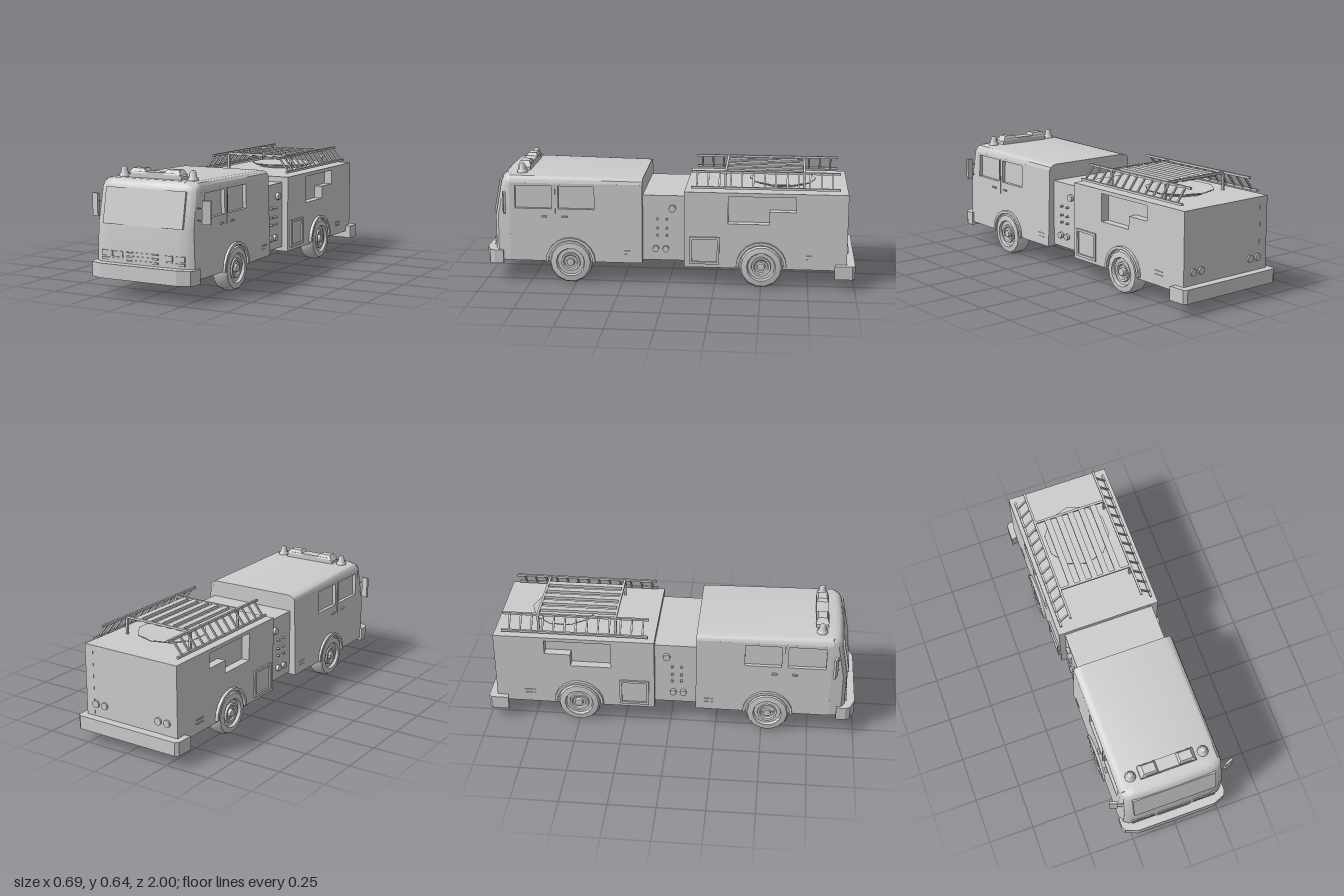
import * as THREE from 'three';
import { toCreasedNormals } from 'three/addons/utils/BufferGeometryUtils.js';

const mat = new THREE.MeshStandardMaterial({ color: 0xcccccc, side: THREE.DoubleSide });
const SIDES = [1, -1];

function add(parent, name, geo, x = 0, y = 0, z = 0) {
  const m = new THREE.Mesh(geo, mat);
  m.name = name;
  m.position.set(x, y, z);
  parent.add(m);
  return m;
}
const box = (p, name, w, h, d, x, y, z) => add(p, name, new THREE.BoxGeometry(w, h, d), x, y, z);

// Square bar between two points
function bar(p, name, a, b, t) {
  const A = new THREE.Vector3(...a), B = new THREE.Vector3(...b);
  const m = box(p, name, t, t, A.distanceTo(B), 0, 0, 0);
  m.position.copy(A).add(B).multiplyScalar(0.5);
  m.lookAt(B);
  return m;
}

// Plate in the z-y plane whose outer face lies at x = s * outer, leaning in by `lean` per unit height
function sidePlate(outline, holes, s, outer, t, lean = 0, y0 = 0) {
  const vec = a => a.map(([z, y]) => new THREE.Vector2(z, y));
  const shape = new THREE.Shape(vec(outline));
  shape.holes = holes.map(h => new THREE.Path(vec(h)));
  const g = new THREE.ExtrudeGeometry(shape, { depth: t, bevelEnabled: false });
  g.rotateY(-Math.PI / 2).translate(s > 0 ? outer : t - outer, 0, 0);
  const q = g.attributes.position;
  for (let i = 0; i < q.count; i++) q.setX(i, q.getX(i) - s * lean * (q.getY(i) - y0));
  g.computeVertexNormals();
  return g;
}
const rect = (z0, y0, z1, y1) => [[z0, y0], [z1, y0], [z1, y1], [z0, y1]];

// Skin through equal-length rings, capped at both ends
function loft(rings) {
  const n = rings[0].length, pos = rings.flat(2), idx = [];
  for (let r = 0; r < rings.length - 1; r++)
    for (let i = 0; i < n; i++) {
      const a = r * n + i, b = r * n + (i + 1) % n;
      idx.push(a, b, b + n, a, b + n, a + n);
    }
  [0, rings.length - 1].forEach((r, k) => {
    const c = pos.length / 3;
    for (let j = 0; j < 3; j++) pos.push(rings[r].reduce((s, p) => s + p[j], 0) / n);
    for (let i = 0; i < n; i++) {
      const a = r * n + i, b = r * n + (i + 1) % n;
      k ? idx.push(c, a, b) : idx.push(c, b, a);
    }
  });
  const g = new THREE.BufferGeometry();
  g.setAttribute('position', new THREE.Float32BufferAttribute(pos, 3));
  g.setIndex(idx);
  return toCreasedNormals(g, 0.6);
}

function cab(root) {
  const g = new THREE.Group();
  g.name = 'cab';
  root.add(g);
  // height, half width, front z, inset behind the door skins, roof fall
  const ring = ([y, w, zf, inset, fall]) => {
    const half = [[0, zf], [0.2, zf - 0.005], [w - 0.035, zf - 0.012], [w - 0.01, zf - 0.03],
      [w, 0.86], [w - inset, 0.859], [w - inset, 0.14]];
    const pts = [...half, ...half.slice(1).reverse().map(([x, z]) => [-x, z])];
    return pts.map(([x, z]) => [x, y - fall * (0.9 - z), z]);
  };
  add(g, 'cabShell', loft([[0.12, 0.293, 0.955, 0.02, 0], [0.36, 0.286, 0.955, 0.02, 0],
    [0.55, 0.28, 0.919, 0.02, 0], [0.55, 0.28, 0.919, 0, 0], [0.573, 0.274, 0.91, 0, 0.01],
    [0.588, 0.26, 0.895, 0, 0.018], [0.593, 0.235, 0.87, 0, 0.018]].map(ring)));
  const screen = box(g, 'windscreen', 0.46, 0.185, 0.02, 0, 0.458, 0.929);
  screen.rotation.x = -0.19;

  for (const s of SIDES) {
    add(g, 'cabSide', sidePlate(rect(0.14, 0.12, 0.86, 0.55),
      [rect(0.63, 0.41, 0.83, 0.535), rect(0.4, 0.41, 0.595, 0.535)], s, 0.293, 0.02, 0.03, 0.12));
    box(g, 'doorSeam', 0.004, 0.28, 0.004, s * 0.286, 0.4, 0.612);
    box(g, 'doorHandle', 0.014, 0.008, 0.03, s * 0.288, 0.368, 0.67);
    box(g, 'doorHandle', 0.014, 0.008, 0.03, s * 0.288, 0.368, 0.56);
    for (const y of [0.165, 0.185]) box(g, 'sideVent', 0.008, 0.006, 0.05, s * 0.291, y, 0.21);
    // Headlights
    box(g, 'headlight', 0.06, 0.028, 0.02, s * 0.21, 0.221, 0.944);
    box(g, 'headlight', 0.058, 0.028, 0.02, s * 0.143, 0.221, 0.947);
    box(g, 'turnSignal', 0.125, 0.013, 0.02, s * 0.177, 0.194, 0.945);
    // Door mirror on two arms
    const mirror = box(g, 'mirror', 0.043, 0.117, 0.012, s * 0.322, 0.449, 0.88);
    mirror.rotation.y = s * 0.35;
    for (const y of [0.41, 0.47])
      bar(g, 'mirrorArm', [s * 0.265, y, 0.9], [s * 0.328, y, 0.875], 0.005);
    // Beacon
    add(g, 'beacon', new THREE.LatheGeometry([[0.03, 0], [0.028, 0.013], [0.021, 0.014], [0.016, 0.042],
      [0.01, 0.049], [0, 0.05]].map(p => new THREE.Vector2(...p)), 10), s * 0.2, 0.591, 0.8);
    // Raised lamp of the light bar
    const lamp = new THREE.CylinderGeometry(0.5, 0.76, 1, 4, 1).rotateY(Math.PI / 4).toNonIndexed();
    lamp.scale(0.094, 0.025, 0.066);
    lamp.computeVertexNormals();
    add(g, 'lightBarLamp', lamp, s * 0.1, 0.627, 0.8);
  }
  const barShape = new THREE.Shape([[-0.155, 0.59], [0.155, 0.59], [0.153, 0.608], [0.12, 0.624],
    [-0.12, 0.624], [-0.153, 0.608]].map(p => new THREE.Vector2(...p)));
  add(g, 'lightBar', new THREE.ExtrudeGeometry(barShape, { depth: 0.066, bevelEnabled: false }), 0, 0, 0.767);
  for (const [y, h] of [[0.191, 0.009], [0.212, 0.009], [0.233, 0.006]])
    box(g, 'grilleBar', 0.182, h, 0.02, 0, y, 0.949);
}

function pumpSection(root) {
  const g = new THREE.Group();
  g.name = 'pumpSection';
  root.add(g);
  box(g, 'pumpHousing', 0.505, 0.36, 0.25, 0, 0.31, 0.025);
  const knob = (s, r, y, z) => {
    const m = add(g, 'pumpOutlet', new THREE.CylinderGeometry(r, r, 0.025, 8), s * 0.257, y, z);
    m.rotation.z = Math.PI / 2;
  };
  for (const s of SIDES) {
    knob(s, 0.02, 0.42, -0.02);
    for (const z of [0.07, 0.015]) knob(s, 0.018, 0.195, z);
    for (const y of [0.27, 0.31, 0.36]) for (const z of [0.06, 0.01]) knob(s, 0.006, y, z);
  }
}

function rearBody(root) {
  const g = new THREE.Group();
  g.name = 'rearBody';
  root.add(g);
  box(g, 'bodyCore', 0.48, 0.414, 0.868, 0, 0.313, -0.52);
  const recess = [[-0.32, 0.35], [-0.54, 0.35], [-0.54, 0.42], [-0.68, 0.42], [-0.68, 0.5], [-0.32, 0.5]];
  for (const s of SIDES) {
    add(g, 'bodySide', sidePlate([[-0.955, 0.105], [-0.085, 0.105], [-0.085, 0.52], [-0.955, 0.52]],
      [recess], s, 0.287, 0.05));
    // Framed locker door
    add(g, 'lockerFrame', sidePlate(rect(-0.275, 0.125, -0.115, 0.275),
      [rect(-0.262, 0.138, -0.128, 0.262)], s, 0.296, 0.012));
    for (const y of [0.16, 0.18]) box(g, 'sideVent', 0.008, 0.006, 0.06, s * 0.287, y, -0.77);
    for (const x of [0.17, 0.225]) {
      const lamp = add(g, 'tailLight', new THREE.CylinderGeometry(0.02, 0.02, 0.014, 10), s * x, 0.205, -0.957);
      lamp.rotation.x = Math.PI / 2;
    }
  }
  // Round turntable on the deck
  add(g, 'turntable', new THREE.LatheGeometry([[0.13, 0], [0.18, 0.018], [0.18, 0.025], [0.13, 0.015], [0, 0.015]]
    .map(p => new THREE.Vector2(...p)), 10), 0, 0.519, -0.605);
}

function ladderRack(root) {
  const g = new THREE.Group();
  g.name = 'ladderRack';
  root.add(g);
  for (const s of SIDES) {
    // Leaning ladder, inner rail high
    const rails = [[s * 0.203, 0.614], [s * 0.26, 0.541]];
    for (const [x, y] of rails) bar(g, 'ladderRail', [x, y, -0.12], [x, y, -0.91], 0.012);
    for (let i = 0; i < 13; i++) {
      const z = -0.15 - i * 0.06;
      bar(g, 'ladderRung', [...rails[0], z], [...rails[1], z], 0.009);
    }
    for (const z of [-0.3, -0.72]) box(g, 'rackPost', 0.012, 0.1, 0.012, s * 0.2, 0.566, z);
  }
  for (const z of [-0.3, -0.72]) box(g, 'rackCrossbar', 0.42, 0.012, 0.012, 0, 0.612, z);
  for (let i = -2; i <= 2; i++) box(g, 'rackSlat', 0.034, 0.016, 0.42, i * 0.066, 0.608, -0.51);
}

function wheel(root, s, z) {
  const g = new THREE.Group();
  g.name = 'wheel';
  root.add(g);
  const spin = (name, pts) => add(g, name, toCreasedNormals(new THREE.LatheGeometry(
    pts.map(p => new THREE.Vector2(...p)), 14).rotateZ(-s * Math.PI / 2), 0.7), s * 0.21, 0.118, z);
  spin('tyre', [[0, 0], [0.085, 0], [0.113, 0.012], [0.118, 0.03], [0.118, 0.072], [0.108, 0.09],
    [0.078, 0.094], [0.072, 0.078], [0, 0.074]]);
  spin('rim', [[0.055, 0.07], [0.052, 0.09], [0.04, 0.088], [0.034, 0.08]]);
  spin('hub', [[0.024, 0.07], [0.02, 0.094], [0, 0.097]]);
  // Wheel arch lip
  const arc = (r, flip) => Array.from({ length: 11 }, (_, i) => {
    const a = Math.PI * (flip ? 10 - i : i) / 10;
    return [z + r * Math.cos(a), 0.118 + r * Math.sin(a)];
  });
  add(root, 'wheelArch', sidePlate([...arc(0.136), ...arc(0.121, true)], [], s, 0.304, 0.03));
}

// Bumper from a half plan outline of [x, z]
function bumper(root, name, half, y, h) {
  const pts = [...half, ...half.slice().reverse().map(([x, z]) => [-x, z])];
  const shape = new THREE.Shape(pts.map(([x, z]) => new THREE.Vector2(x, -z)));
  add(root, name, new THREE.ExtrudeGeometry(shape, { depth: h, bevelEnabled: false }).rotateX(-Math.PI / 2), 0, y, 0);
}

export function createModel() {
  const root = new THREE.Group();
  root.name = 'fireEngine';
  cab(root);
  pumpSection(root);
  rearBody(root);
  ladderRack(root);
  for (const s of SIDES) for (const z of [0.53, -0.5]) wheel(root, s, z);
  bumper(root, 'frontBumper', [[0.22, 1], [0.285, 0.975], [0.298, 0.95], [0.298, 0.9]], 0.1, 0.075);
  bumper(root, 'rearBumper', [[0.3, -1], [0.318, -0.985], [0.32, -0.89], [0.27, -0.9]], 0.065, 0.073);
  return root;
}
